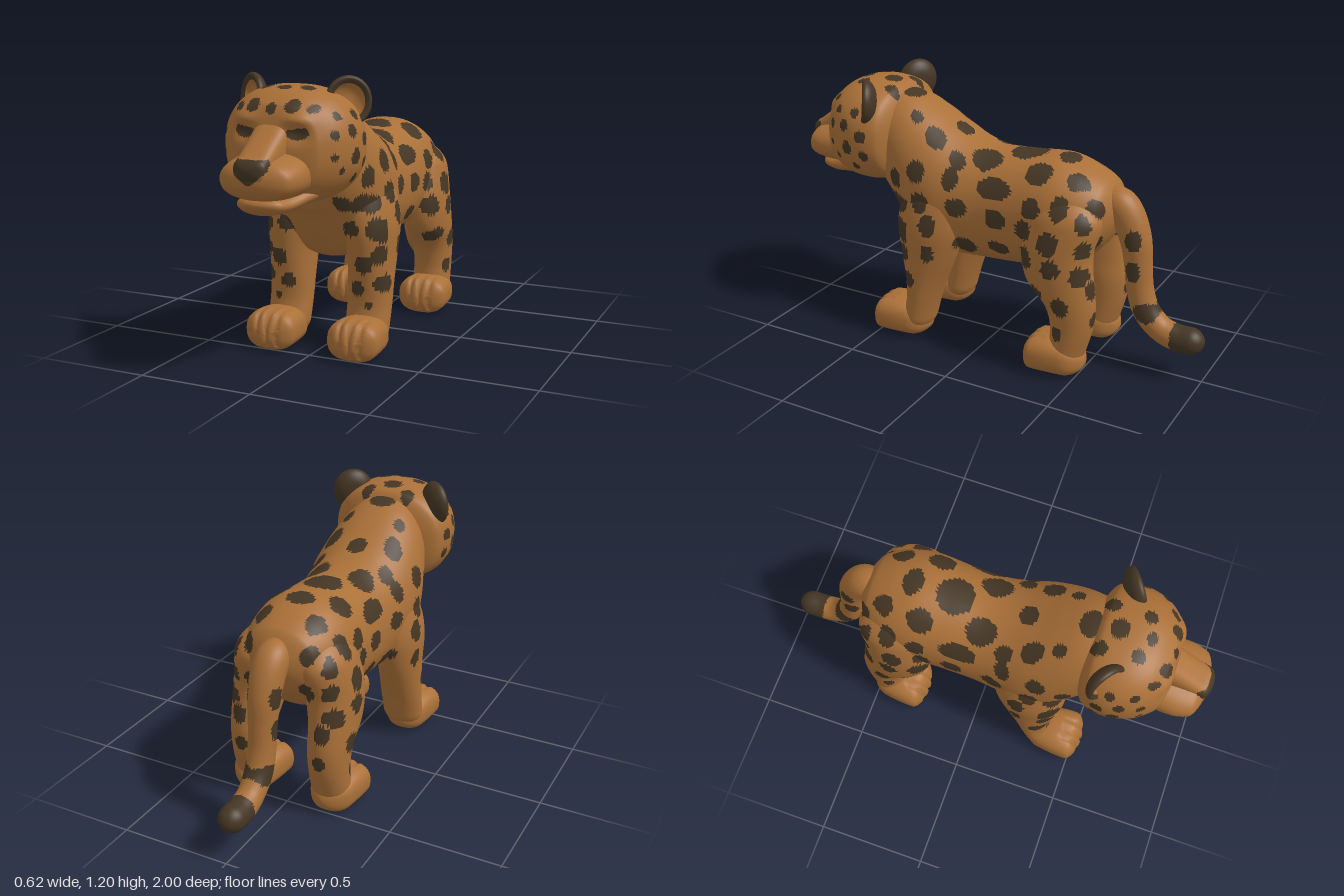
import * as THREE from 'three';

const fur = new THREE.MeshStandardMaterial({ color: 0xaa7038 });
fur.name = 'tan fur';
const dark = new THREE.MeshStandardMaterial({ color: 0x453624 });
dark.name = 'dark brown fur';

// Spots as ellipses [u, v, ru, rv] projected from each direction
const SIDE = [ // z, y
  [.41, .77, .035, .045], [.42, .66, .035, .04], [.51, .67, .02, .025], [.29, .825, .045, .05], [.265, .69, .045, .045],
  [.37, .545, .04, .05], [.22, .59, .04, .05], [.355, .43, .035, .04], [.22, .455, .03, .045], [.33, .305, .04, .04],
  [.13, .81, .035, .05], [.09, .69, .05, .04], [.065, .5, .055, .045], [-.08, .795, .085, .045], [-.1, .67, .05, .045],
  [-.105, .525, .05, .035], [-.27, .75, .045, .045], [-.24, .65, .04, .045], [-.26, .535, .04, .05], [-.4, .77, .04, .05],
  [-.375, .625, .05, .05], [-.395, .52, .045, .04], [-.515, .73, .035, .055], [-.52, .61, .03, .04], [-.51, .49, .035, .045],
];
const SIDE_LOW = [[-.31, .385, .045, .035], [-.44, .35, .04, .045], [-.425, .215, .025, .035]];
const TOP = [ // |x|, z
  [0, -.35, .065, .045], [0, -.155, .085, .085], [0, .175, .045, .04], [0, .44, .06, .05], [.145, -.27, .045, .06],
  [.13, -.45, .045, .05], [.11, 0, .055, .07], [.15, .24, .04, .05], [.13, .35, .025, .03], [.17, .12, .03, .04],
];
const FRONT = [ // |x|, y
  [.2, .39, .038, .04], [.165, .28, .032, .033], [.155, .545, .035, .035], [.235, .65, .025, .04],
  [.145, .66, .03, .035], [.27, .53, .02, .05], [.215, .21, .018, .015],
];
const BACK = [[.2, .42, .035, .045], [.19, .28, .03, .035], [.13, .6, .035, .045], [.14, .77, .03, .04]];
const HEAD_SIDE = [ // z, y
  [.735, .98, .018, .02], [.65, .99, .025, .025], [.74, .895, .015, .015], [.635, .89, .028, .032], [.56, .95, .028, .03],
  [.7, .84, .015, .015], [.605, .8, .02, .018], [.55, .86, .022, .025], [.7, 1.05, .018, .018], [.6, 1.05, .022, .02],
];
const HEAD_FRONT = [[.085, 1.09, .03, .025], [0, 1.08, .02, .022], [.16, 1.08, .022, .016]];
const HEAD_TOP = [[0, .555, .045, .04], [.09, .66, .03, .03], [0, .69, .028, .025], [.1, .5, .03, .035]];

const hit = (list, u, v) => list.some(([a, b, ra, rb]) => ((u - a) / ra) ** 2 + ((v - b) / rb) ** 2 < 1);

// Coat pattern for torso and legs; inner sides stay plain
const coat = (minX) => ({ x, y, z }) => {
  const ax = Math.abs(x);
  return (ax > minX && (hit(SIDE, z, y) || hit(SIDE_LOW, z, y))) || (y > .84 && hit(TOP, ax, z))
    || (z > .33 && hit(FRONT, ax, y)) || (z < -.5 && hit(BACK, ax, y));
};

const headCoat = ({ x, y, z }) => {
  const ax = Math.abs(x);
  const eye = z > .75 && hit([[.115, .992, .045, .028]], ax, y) && y < 1.008 + .15 * (ax - .115);
  return eye || (ax > .17 && hit(HEAD_SIDE, z, y)) || (z > .68 && hit(HEAD_FRONT, ax, y))
    || (y > 1.08 && hit(HEAD_TOP, ax, z));
};

const nose = ({ x, y, z }) =>
  z > .94 && y > .81 && y < .906 && Math.abs(x) < .072 * Math.min(1, (y - .8) / .06);

// Smooth round-ended loft through rows [x, y, z, rx, r2].
// angle sets the ring plane (0: along +z, PI/2: down -y); null follows the path.
function loft(name, rows, { angle = 0, rings = 60, segs = 56, n = 2, isDark = () => false, tweak } = {}) {
  const path = new THREE.CatmullRomCurve3(rows.map((r) => new THREE.Vector3(r[0], r[1], r[2])));
  const size = new THREE.CatmullRomCurve3(rows.map((r) => new THREE.Vector3(r[3], r[4], 0)), false, 'catmullrom', .5);
  const cap = 1 / (rows.length - 1);
  const pos = [];
  const points = [];
  const pow = (c) => Math.sign(c) * Math.abs(c) ** (2 / n);
  for (let i = 0; i <= rings; i++) {
    const u = (1 - Math.cos(Math.PI * i / rings)) / 2;
    const c = path.getPoint(u);
    const s = size.getPoint(u);
    const e = Math.max(0, 1 - Math.min(u, 1 - u) / cap);
    const round = Math.max(Math.sqrt(Math.max(0, 1 - e * e)), .001);
    let a = angle;
    if (a === null) {
      const d = path.getTangent(u);
      a = Math.atan2(-d.y, d.z);
    }
    for (let j = 0; j < segs; j++) {
      const t = j / segs * Math.PI * 2;
      const q = pow(Math.sin(t)) * s.y * round;
      const p = new THREE.Vector3(c.x + pow(Math.cos(t)) * s.x * round, c.y + q * Math.cos(a), c.z + q * Math.sin(a));
      if (tweak) tweak(p);
      points.push(p);
      pos.push(p.x, p.y, p.z);
    }
  }
  const light = [];
  const spots = [];
  const mid = new THREE.Vector3();
  const face = (a, b, c) => {
    mid.copy(points[a]).add(points[b]).add(points[c]).divideScalar(3);
    (isDark(mid) ? spots : light).push(a, b, c);
  };
  for (let i = 0; i < rings; i++) {
    for (let j = 0; j < segs; j++) {
      const a = i * segs + j, b = i * segs + (j + 1) % segs;
      face(a, b, b + segs);
      face(a, b + segs, a + segs);
    }
  }
  const g = new THREE.BufferGeometry();
  g.setAttribute('position', new THREE.Float32BufferAttribute(pos, 3));
  g.setIndex([...light, ...spots]);
  g.addGroup(0, light.length, 0);
  g.addGroup(light.length, spots.length, 1);
  g.computeVertexNormals();
  const mesh = new THREE.Mesh(g, [fur, dark]);
  mesh.name = name;
  return mesh;
}

// Row along z from its top, bottom and half width
const slab = ([z, top, bottom, w]) => [0, (top + bottom) / 2, z, w, (top - bottom) / 2];

function makeLeg(name, rows, side, pawFront) {
  const leg = new THREE.Group();
  leg.name = name;
  leg.add(loft('limb', rows.map(([y, x, z, rx, rz]) => [side * x, y, z, rx, rz]),
    { angle: Math.PI / 2, isDark: coat(.2) }));
  const px = side * .195;
  const paw = [[-.28, .13, .08], [-.2, .16, .1], [-.12, .172, .113], [-.05, .165, .115], [0, .14, .1]];
  leg.add(loft('paw', paw.map(([dz, top, w]) => [px, top / 2, pawFront + dz, w, top / 2]), {
    rings: 30, segs: 64, n: 2.6,
    tweak: (p) => { // grooves between the toes
      if (p.z < pawFront - .1 || p.y < .02) return;
      const d = Math.min(...[-.047, 0, .047].map((k) => Math.abs(p.x - px - k)));
      const groove = Math.exp(-((d / .008) ** 2));
      p.z -= .012 * groove;
      if (p.y > .1) p.y -= .007 * groove;
    },
  }));
  return leg;
}

function makeEar(side) {
  const ear = new THREE.Group();
  ear.name = side > 0 ? 'leftEar' : 'rightEar';
  const lathe = (pts, mat, name) => {
    const curve = new THREE.SplineCurve(pts.map(([r, h]) => new THREE.Vector2(r, h)));
    const m = new THREE.Mesh(new THREE.LatheGeometry(curve.getPoints(24), 40).rotateX(Math.PI / 2), mat);
    m.name = name;
    ear.add(m);
  };
  lathe([[.001, -.05], [.05, -.043], [.083, -.022], [.095, .003], [.085, .018], [.066, .008]], dark, 'earBack');
  lathe([[.066, .008], [.052, -.008], [.03, -.018], [.001, -.02]], fur, 'earInside');
  ear.scale.y = 1.08;
  ear.position.set(side * .215, 1.095, .565);
  ear.rotation.set(-.08, side * .62, side * -.12, 'YXZ');
  return ear;
}

export function createModel() {
  const model = new THREE.Group();
  model.name = 'spottedCub';

  // Torso and neck
  model.add(loft('torso', [
    [-.6, .8, .64, .1], [-.53, .86, .56, .17], [-.44, .905, .47, .22], [-.32, .935, .42, .24], [-.16, .925, .405, .235],
    [0, .92, .395, .235], [.12, .95, .39, .25], [.22, 1, .39, .265], [.32, 1.06, .4, .26], [.41, 1.105, .5, .235],
    [.5, 1.12, .62, .2], [.6, 1.1, .7, .17],
  ].map(slab), { rings: 140, segs: 110, n: 2.15, isDark: coat(.12) }));

  // Head
  const head = new THREE.Group();
  head.name = 'head';
  head.add(loft('skull', [
    [.42, 1.1, .7, .2], [.5, 1.145, .7, .265], [.58, 1.16, .69, .287], [.66, 1.16, .69, .278],
    [.73, 1.14, .704, .25], [.79, 1.1, .73, .2], [.835, 1.055, .755, .15],
  ].map(slab), {
    rings: 100, segs: 110, n: 2.3, isDark: headCoat,
    tweak: (p) => { // eye sockets under a brow ridge
      if (p.z < .74) return;
      const ax = (Math.abs(p.x) - .115) / .05;
      p.z += .014 * Math.exp(-ax * ax - ((p.y - 1.04) / .025) ** 2) - .018 * Math.exp(-ax * ax - ((p.y - .985) / .035) ** 2);
    },
  }));
  head.add(loft('noseBridge', [
    [.74, 1.06, .85, .085], [.8, 1.035, .84, .08], [.86, .99, .83, .075],
    [.92, .945, .82, .072], [.97, .91, .81, .07], [1, .9, .825, .062],
  ].map(slab), { segs: 64, n: 3, isDark: nose }));
  head.add(loft('muzzle', [
    [.7, .93, .72, .16], [.8, .925, .73, .168], [.88, .91, .735, .168],
    [.94, .895, .745, .15], [.988, .87, .765, .115],
  ].map(slab), { segs: 64, n: 2.3, isDark: nose }));
  head.add(loft('chin', [
    [.62, .82, .7, .2], [.74, .8, .69, .16], [.84, .765, .675, .12], [.9, .76, .68, .1], [.945, .75, .7, .08],
  ].map(slab), { rings: 40, segs: 48 }));
  head.add(makeEar(1), makeEar(-1));
  model.add(head);

  // Legs: rows of y, x, z, half width, half depth
  const front = [
    [.8, .13, .23, .1, .14], [.68, .155, .245, .115, .165], [.55, .18, .255, .115, .165], [.42, .188, .265, .103, .135],
    [.3, .188, .28, .1, .1], [.2, .188, .295, .1, .078], [.1, .188, .32, .098, .075], [.02, .188, .33, .09, .07],
  ];
  const hind = [
    [.82, .13, -.4, .1, .13], [.7, .15, -.395, .115, .17], [.56, .175, -.375, .115, .165], [.42, .19, -.4, .103, .155],
    [.32, .19, -.45, .095, .115], [.22, .19, -.46, .09, .095], [.11, .19, -.44, .09, .085], [.02, .19, -.42, .085, .08],
  ];
  for (const [side, label] of [[1, 'left'], [-1, 'right']]) {
    model.add(makeLeg(label + 'FrontLeg', front, side, .54));
    model.add(makeLeg(label + 'HindLeg', hind, side, -.25));
  }

  // Tail with side spots, a ring and a dark tip
  const tail = [
    [.8, -.5, .07], [.74, -.6, .075], [.62, -.66, .07], [.5, -.68, .062], [.38, -.695, .06], [.28, -.73, .06],
    [.21, -.8, .058], [.185, -.88, .06], [.185, -.94, .06], [.185, -1, .055],
  ];
  model.add(loft('tail', tail.map(([y, z, r]) => [0, y, z, r, r]), {
    angle: null, rings: 90, segs: 36,
    isDark: ({ x, y, z }) => z < -.86 || (Math.abs(x) > .02 && hit([[-.675, .62, .035, .05], [-.675, .475, .035, .05]], z, y))
      || hit([[-.74, .29, .055, .045]], z, y),
  }));
  return model;
}
